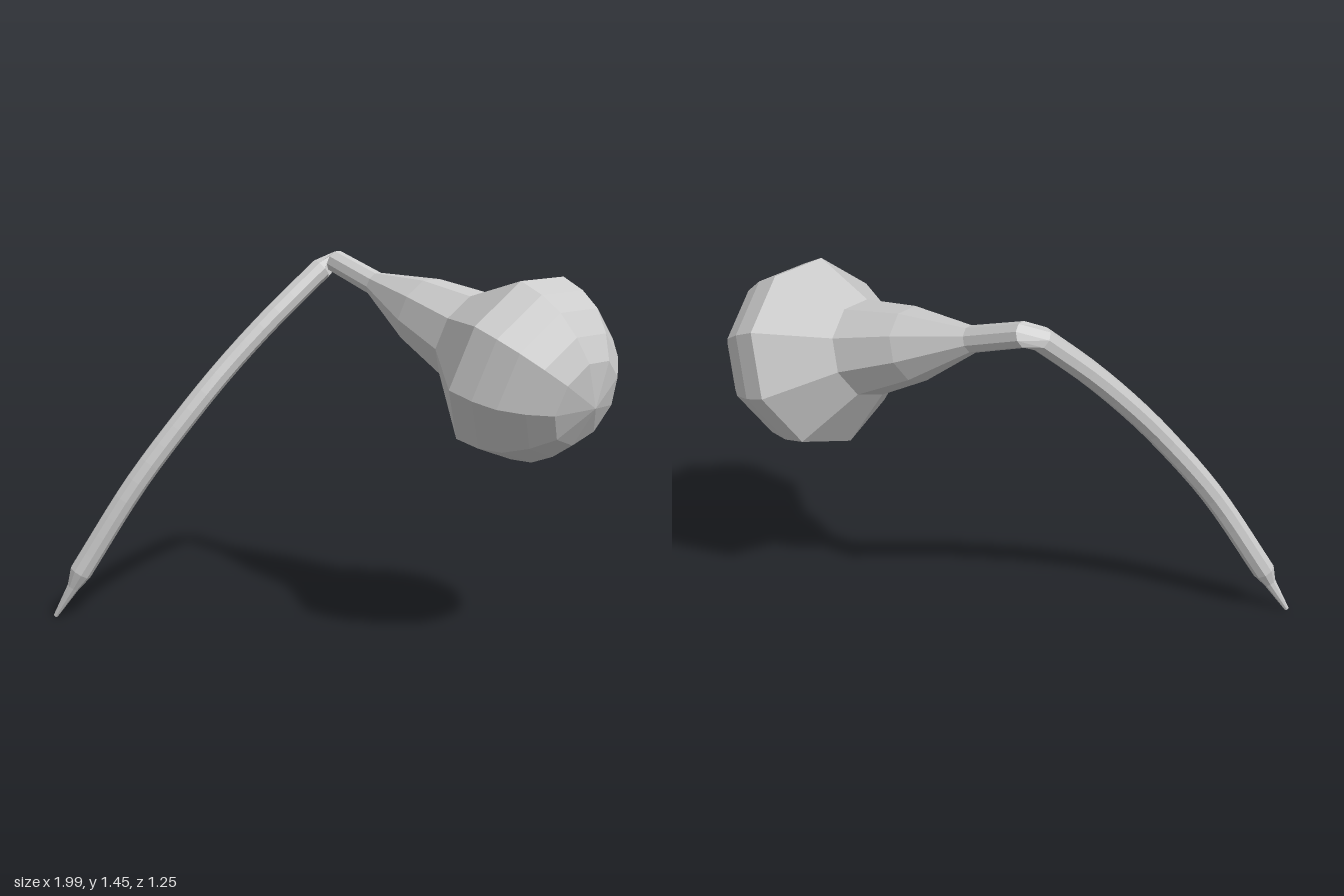
import * as THREE from 'three';

const SIDES = 9;
const V = (x, y, z) => new THREE.Vector3(x, y, z);
const material = new THREE.MeshStandardMaterial({ color: 0xcccccc, flatShading: true });

// Skins rings { p: centre, t: direction, r: radius }; the ring frame is carried along without twist.
function sweep(name, rings, start) {
  let u = start.clone(), last = null;
  const loops = rings.map(({ p, t, r }) => {
    if (last) u.applyQuaternion(new THREE.Quaternion().setFromUnitVectors(last, t));
    u.addScaledVector(t, -u.dot(t)).normalize();
    last = t;
    const v = t.clone().cross(u);
    return Array.from({ length: SIDES }, (_, j) => {
      const a = (j / SIDES) * Math.PI * 2;
      return p.clone().addScaledVector(u, r * Math.cos(a)).addScaledVector(v, r * Math.sin(a));
    });
  });
  const pos = [];
  const tri = (...pts) => pts.forEach((q) => pos.push(q.x, q.y, q.z));
  for (let i = 0; i < loops.length - 1; i++) {
    for (let j = 0; j < SIDES; j++) {
      const k = (j + 1) % SIDES;
      const [a, b, c, d] = [loops[i][j], loops[i][k], loops[i + 1][j], loops[i + 1][k]];
      if (rings[i].r > 0) tri(a, b, c);
      if (rings[i + 1].r > 0) tri(b, d, c);
    }
  }
  const geometry = new THREE.BufferGeometry();
  geometry.setAttribute('position', new THREE.Float32BufferAttribute(pos, 3));
  geometry.computeVertexNormals();
  const mesh = new THREE.Mesh(geometry, material);
  mesh.name = name;
  return { mesh, u };
}

export function createModel() {
  const group = new THREE.Group();

  // Bulb: domed end, widest ring, then a stepped taper into the neck
  const centre = V(0.62, 1.09, -0.265);
  const back = V(-0.943, 0.321, -0.088).normalize();
  const profile = [
    [-0.38, 0], [-0.335, 0.17], [-0.27, 0.25], [-0.19, 0.315], [-0.1, 0.348], [0, 0.36],
    [0.245, 0.182], [0.493, 0.138], [0.765, 0.049], [1.005, 0.046],
  ];
  const bulbRings = profile.map(([s, r]) => ({ p: centre.clone().addScaledVector(back, s), t: back, r }));
  const bulb = sweep('bulbAndNeck', bulbRings, V(0, -1, 0));
  group.add(bulb.mesh);

  // Stem: elbow at the neck, then a long downward curve
  const curve = new THREE.CatmullRomCurve3([
    V(-0.358, 1.385, -0.3), V(-0.445, 1.2, -0.1), V(-0.53, 1.02, 0.065),
    V(-0.6, 0.855, 0.2), V(-0.733, 0.56, 0.395), V(-0.9, 0.195, 0.558),
  ]);
  const stemRings = [bulbRings[bulbRings.length - 1]];
  const steps = 18;
  for (let i = 0; i <= steps; i++) {
    stemRings.push({ p: curve.getPointAt(i / steps), t: curve.getTangentAt(i / steps), r: 0.045 });
  }
  const stem = sweep('stem', stemRings, bulb.u);
  group.add(stem.mesh);

  // Tip: quick step down, then a thin point
  const end = stemRings[stemRings.length - 1];
  const down = V(-0.07, -0.128, 0.04).normalize();
  const tipRings = [
    end,
    { p: V(-0.924, 0.135, 0.577), t: down, r: 0.025 },
    { p: V(-0.992, 0.008, 0.617), t: down, r: 0.009 },
    { p: V(-0.992, 0.008, 0.617), t: down, r: 0 },
  ];
  group.add(sweep('tip', tipRings, stem.u).mesh);

  return group;
}
